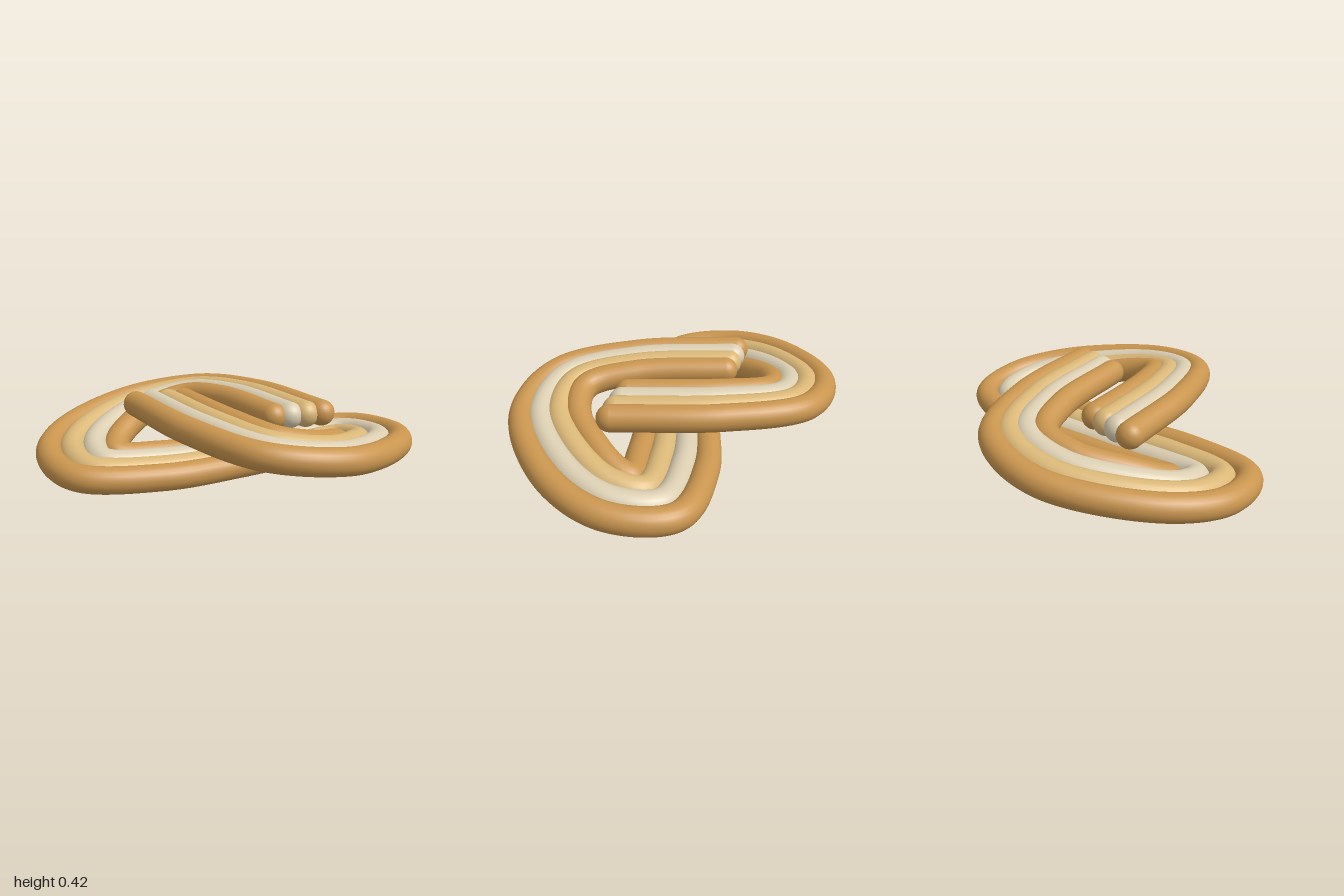
import * as THREE from 'three';

export function createModel() {
  const group = new THREE.Group();
  group.name = 'twistedRoll';

  const mat = (name, color) => {
    const m = new THREE.MeshStandardMaterial({ color });
    m.name = name;
    return m;
  };
  const brown = mat('crustBrown', 0xc9954f);
  const tan = mat('goldenTan', 0xdab778);
  const cream = mat('paleCream', 0xdacdb1);

  const R = 0.072;

  // Half of the ribbon: x, z of one edge strand, x, z of the other edge strand, shared height
  const half = [
    [0.515, -0.075, 0.285, 0.075, 0.35],
    [0.07, -0.43, -0.11, -0.235, 0.342],
    [-0.38, -0.603, -0.375, -0.338, 0.31],
    [-0.75, -0.4, -0.535, -0.19, 0.258],
    [-0.928, 0.12, -0.592, 0.06, 0.195],
    [-0.85, 0.48, -0.59, 0.2, 0.148],
    [-0.58, 0.67, -0.55, 0.275, 0.115],
    [-0.2, 0.46, -0.36, 0.115, 0.085],
  ];
  // The other half is a half turn about the upright axis, with the edges swapped
  const rows = [
    ...half,
    [0.12, 0.12, -0.12, -0.12, 0.072],
    ...half.map(([ax, az, dx, dz, y]) => [-dx, -dz, -ax, -az, y]).reverse(),
  ];

  const capGeometry = new THREE.SphereGeometry(R, 24, 16);

  // Four strands laid side by side across the ribbon, each with rounded ends
  [
    ['firstEdgeStrand', brown],
    ['tanStrand', tan],
    ['creamStrand', cream],
    ['secondEdgeStrand', brown],
  ].forEach(([name, material], i) => {
    const t = i / 3;
    const points = rows.map(([ax, az, dx, dz, y]) =>
      new THREE.Vector3(ax + (dx - ax) * t, y, az + (dz - az) * t));
    const strand = new THREE.Group();
    strand.name = name;

    const rope = new THREE.Mesh(
      new THREE.TubeGeometry(new THREE.CatmullRomCurve3(points), 240, R, 24), material);
    rope.name = name + 'Rope';
    strand.add(rope);

    for (const end of [points[0], points[points.length - 1]]) {
      const cap = new THREE.Mesh(capGeometry, material);
      cap.name = name + 'End';
      cap.position.copy(end);
      strand.add(cap);
    }
    group.add(strand);
  });

  return group;
}
